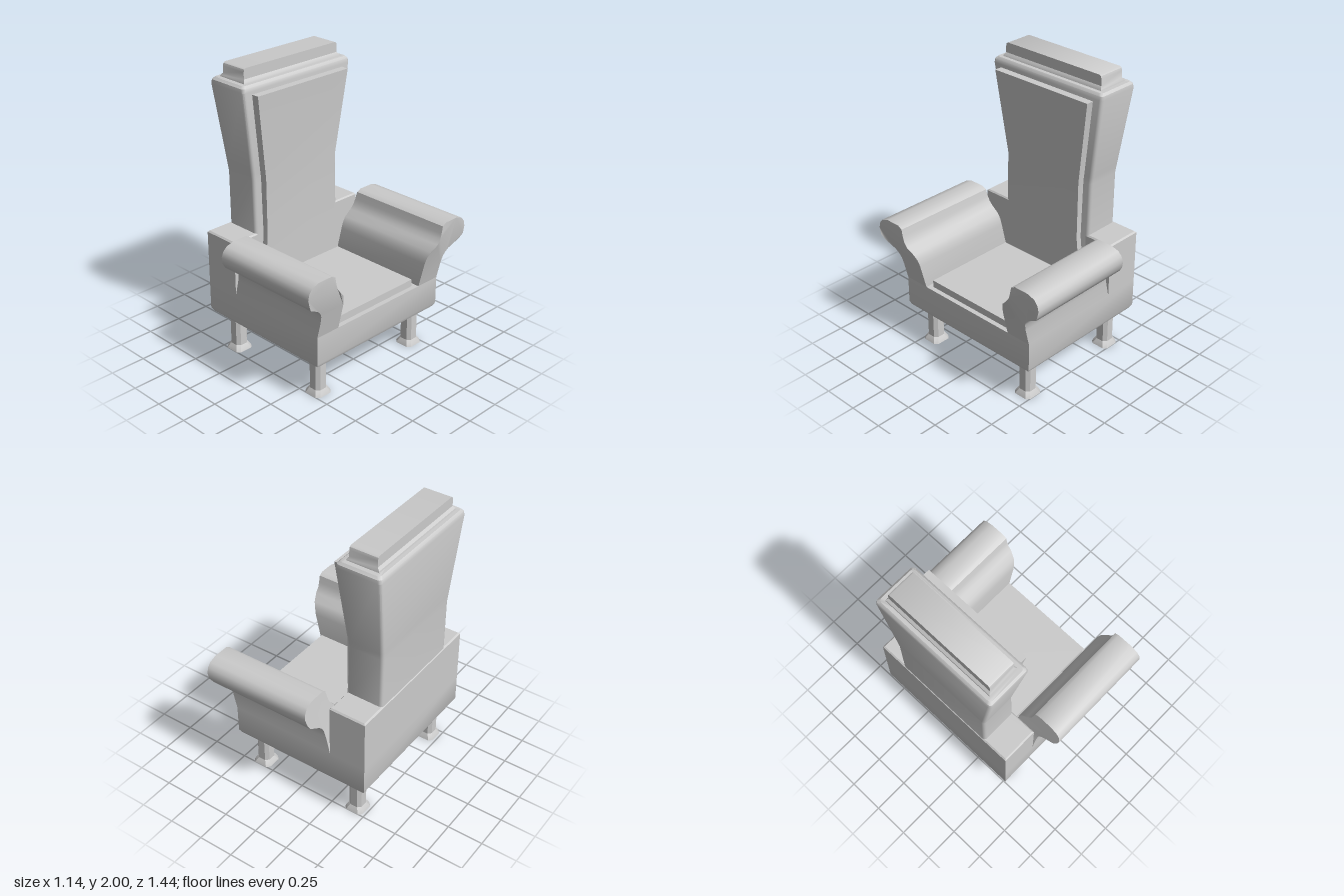
import * as THREE from 'three';
import { toCreasedNormals } from 'three/addons/utils/BufferGeometryUtils.js';

const material = new THREE.MeshStandardMaterial({ color: 0xcccccc });

function addMesh(parent, name, geometry, crease = 0.62) {
  const mesh = new THREE.Mesh(toCreasedNormals(geometry, crease), material);
  mesh.name = name;
  parent.add(mesh);
  return mesh;
}

// Stacks rectangles [y, x0, x1, halfDepth] with rounded corners (seg 0 = sharp, 1 = chamfer)
function loft(levels, r = 0, seg = 0) {
  const pos = [], index = [], n = 4 * (seg + 1);
  for (const [y, x0, x1, hz] of levels) {
    const cx = (x0 + x1) / 2, hx = (x1 - x0) / 2;
    for (let c = 0; c < 4; c++) {
      const sx = c === 0 || c === 3 ? 1 : -1, sz = c < 2 ? 1 : -1;
      for (let s = 0; s <= seg; s++) {
        const a = (c + (seg ? s / seg : 0)) * Math.PI / 2;
        const ox = seg ? r * Math.cos(a) : 0, oz = seg ? r * Math.sin(a) : 0;
        const inset = seg ? r : 0;
        pos.push(cx + sx * (hx - inset) + ox, y, sz * (hz - inset) + oz);
      }
    }
  }
  const top = (levels.length - 1) * n;
  for (let l = 0; l < top; l += n) {
    for (let i = 0; i < n; i++) {
      const a = l + i, b = l + (i + 1) % n;
      index.push(a, a + n, b, b, a + n, b + n);
    }
  }
  for (let i = 1; i < n - 1; i++) {
    index.push(0, i, i + 1, top, top + i + 1, top + i);
  }
  const g = new THREE.BufferGeometry();
  g.setAttribute('position', new THREE.Float32BufferAttribute(pos, 3));
  g.setIndex(index);
  return g;
}

// Piecewise-linear lookup in [[y, value], ...]
function lookup(table, y) {
  for (let i = 1; i < table.length; i++) {
    const [y0, v0] = table[i - 1], [y1, v1] = table[i];
    if (y <= y1) return v0 + (v1 - v0) * Math.max(0, (y - y0) / (y1 - y0));
  }
  return table[table.length - 1][1];
}

// Scrolled armrest: profile in (z, y), ends raked along x by height
const armProfile = [
  [0.377, 0.5], [0.56, 0.5], [0.56, 0.62], [0.566, 0.67], [0.58, 0.7], [0.605, 0.725],
  [0.645, 0.75], [0.685, 0.772], [0.708, 0.81], [0.72, 0.86], [0.71, 0.9], [0.685, 0.93],
  [0.63, 0.948], [0.525, 0.948], [0.495, 0.93], [0.485, 0.88], [0.475, 0.845],
  [0.45, 0.81], [0.405, 0.765], [0.388, 0.725], [0.38, 0.68],
];
const armFront = [[0.5, 0.478], [0.66, 0.517], [0.725, 0.533], [0.81, 0.567], [0.95, 0.567]];
const armRear = [[0.5, -0.28], [0.66, -0.242], [0.77, -0.228], [0.95, -0.2]];

function armGeometry(side) {
  const shape = new THREE.Shape(armProfile.map(([z, y]) => new THREE.Vector2(-z * side, y)));
  const g = new THREE.ExtrudeGeometry(shape, { depth: 1, bevelEnabled: false });
  const p = g.attributes.position;
  for (let i = 0; i < p.count; i++) {
    const y = p.getY(i), z = -p.getX(i);
    p.setXYZ(i, lookup(p.getZ(i) > 0.5 ? armFront : armRear, y), y, z);
  }
  return g;
}

export function createModel() {
  const chair = new THREE.Group();
  chair.name = 'armchair';

  // Base box with a softened underside
  addMesh(chair, 'base', loft([
    [0.272, -0.515, 0.45, 0.53], [0.28, -0.532, 0.467, 0.547],
    [0.305, -0.545, 0.478, 0.56], [0.5, -0.545, 0.478, 0.56],
  ]));

  // Wide lower back behind the arms
  addMesh(chair, 'lowerBack', loft([
    [0.5, -0.545, -0.28, 0.56], [0.87, -0.545, -0.28, 0.56], [0.88, -0.535, -0.288, 0.55],
  ]));

  // Tall backrest flaring toward the top
  addMesh(chair, 'backrest', loft([
    [0.5, -0.54, -0.28, 0.372], [0.88, -0.54, -0.28, 0.372], [1.25, -0.542, -0.287, 0.373],
    [1.3, -0.544, -0.286, 0.38], [1.865, -0.573, -0.255, 0.463], [1.89, -0.568, -0.26, 0.46],
    [1.905, -0.553, -0.275, 0.445],
  ], 0.022, 3));

  // Padded panel on the front of the backrest
  addMesh(chair, 'backPanel', loft([
    [0.5, -0.3, -0.24, 0.347], [0.85, -0.3, -0.24, 0.307],
    [1.26, -0.3, -0.238, 0.31], [1.845, -0.3, -0.203, 0.392],
  ]));

  // Crest cap on top
  addMesh(chair, 'crest', loft([
    [1.9, -0.53, -0.3, 0.415], [1.915, -0.527, -0.304, 0.413], [1.93, -0.511, -0.316, 0.403],
    [1.975, -0.511, -0.316, 0.403], [1.992, -0.511, -0.316, 0.398], [2, -0.511, -0.316, 0.386],
  ]));

  addMesh(chair, 'seatCushion', loft([
    [0.49, -0.27, 0.445, 0.345], [0.55, -0.27, 0.445, 0.345],
  ]));

  for (const side of [1, -1]) {
    addMesh(chair, side > 0 ? 'leftArm' : 'rightArm', armGeometry(side), 0.8);

    // Chamfered square legs with flared feet
    for (const x of [-0.413, 0.355]) {
      const leg = addMesh(chair, x > 0 ? 'frontLeg' : 'rearLeg', loft([
        [0, -0.068, 0.068, 0.068], [0.016, -0.062, 0.062, 0.062],
        [0.04, -0.048, 0.048, 0.048], [0.29, -0.048, 0.048, 0.048],
      ], 0.022, 1), 0.3);
      leg.position.set(x, 0, side * 0.435);
    }
  }
  return chair;
}
